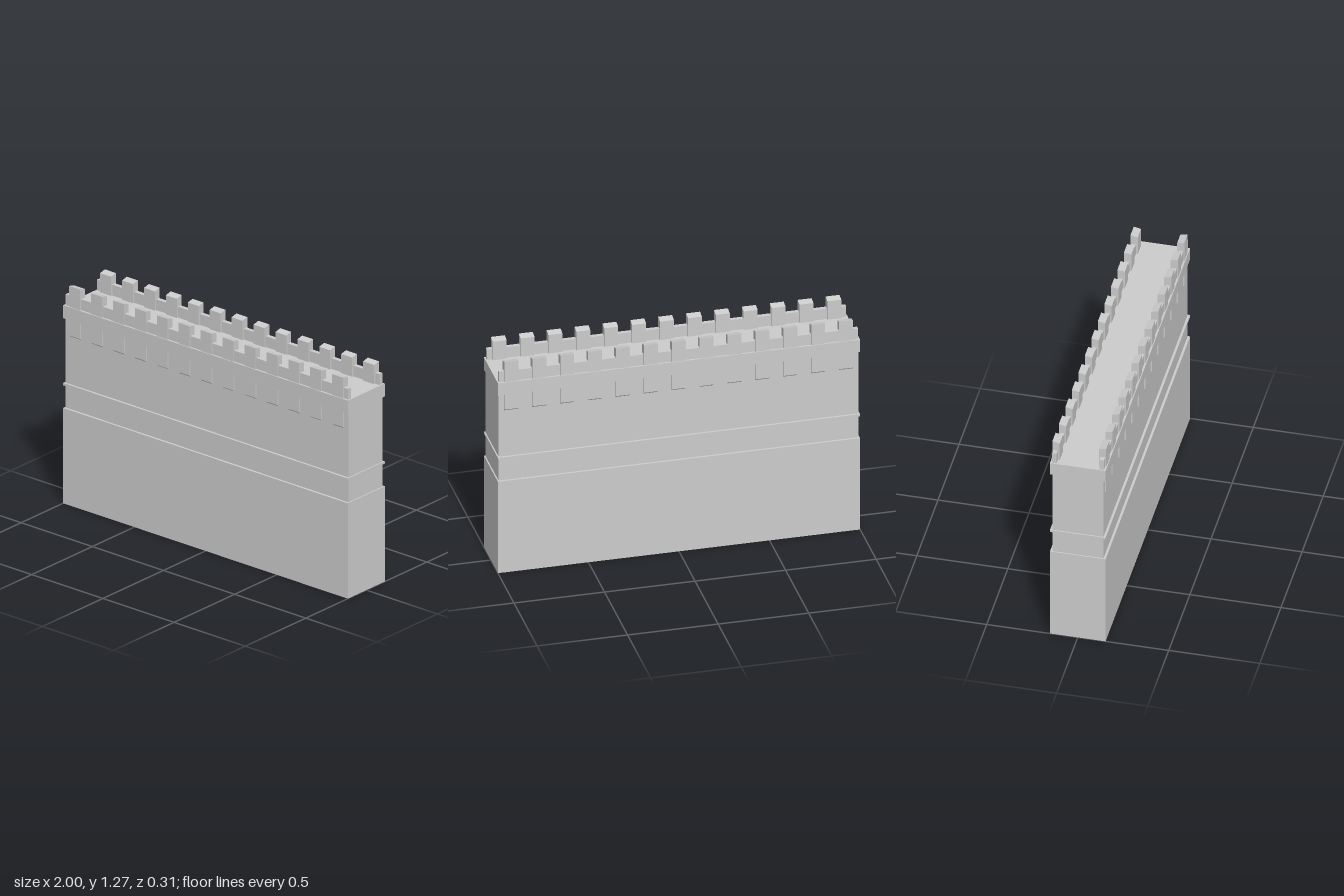
import * as THREE from 'three';

const material = new THREE.MeshStandardMaterial({ color: 0xcccccc, flatShading: true, side: THREE.DoubleSide });

// Hollow rectangular shell through levels of [halfX, halfZ, y], open at the bottom
function shell(name, levels, capped = false) {
  const corners = [[-1, 1], [1, 1], [1, -1], [-1, -1]];
  const rings = levels.map(([hx, hz, y]) => corners.map(([sx, sz]) => [sx * hx, y, sz * hz]));
  const positions = [];
  const quad = (a, b, c, d) => positions.push(...a, ...b, ...c, ...a, ...c, ...d);
  for (let k = 0; k < rings.length - 1; k++) {
    for (let i = 0; i < 4; i++) {
      const j = (i + 1) % 4;
      quad(rings[k][i], rings[k][j], rings[k + 1][j], rings[k + 1][i]);
    }
  }
  if (capped) quad(...rings[rings.length - 1]);
  const geometry = new THREE.BufferGeometry();
  geometry.setAttribute('position', new THREE.Float32BufferAttribute(positions, 3));
  geometry.computeVertexNormals();
  const mesh = new THREE.Mesh(geometry, material);
  mesh.name = name;
  return mesh;
}

// Side profile in [z, y], extruded along x and centred
function profileBlock(points, width) {
  const shape = new THREE.Shape(points.map(([z, y]) => new THREE.Vector2(z, y)));
  const geometry = new THREE.ExtrudeGeometry(shape, { depth: width, bevelEnabled: false });
  geometry.translate(0, 0, -width / 2);
  geometry.rotateY(-Math.PI / 2);
  return geometry;
}

export function createModel() {
  const wall = new THREE.Group();
  wall.name = 'castleWall';

  const W = 0.993, D = 0.14; // upper wall half width and depth
  const OW = 1, OD = 0.153; // projecting courses

  wall.add(
    shell('base', [[OW, OD, 0], [OW, OD, 0.555], [W, D, 0.555]]),
    shell('upperWall', [[W, D, 0.555], [W, D, 1.078]]),
    shell('stringCourse', [[W, D, 0.687], [OW, OD, 0.687], [OW, OD, 0.7], [W, D, 0.7]]),
    shell('walkwayBand', [[W, D, 1.078], [OW, OD, 1.078], [OW, OD, 1.153]], true),
  );

  // Merlons have a top sloping inward, corbels a slanted underside
  const merlonGeometry = profileBlock([[0.108, 1.153], [0.148, 1.153], [0.148, 1.274], [0.108, 1.265]], 0.077);
  const corbelGeometry = profileBlock([[0.138, 0.976], [0.148, 0.986], [0.148, 1.08], [0.138, 1.08]], 0.077);
  const parapetGeometry = profileBlock([[0.118, 1.153], [0.142, 1.153], [0.142, 1.216], [0.118, 1.216]], 1.984);

  // The same battlement on the front and, turned round, on the back
  for (const side of ['front', 'back']) {
    const battlement = new THREE.Group();
    battlement.name = side + 'Battlement';
    const parapet = new THREE.Mesh(parapetGeometry, material);
    parapet.name = 'parapet';
    battlement.add(parapet);
    for (let i = -6; i <= 6; i++) {
      for (const [name, geometry] of [['merlon', merlonGeometry], ['corbel', corbelGeometry]]) {
        const block = new THREE.Mesh(geometry, material);
        block.name = name;
        block.position.x = i * 0.154;
        battlement.add(block);
      }
    }
    if (side === 'back') battlement.rotation.y = Math.PI;
    wall.add(battlement);
  }
  return wall;
}
